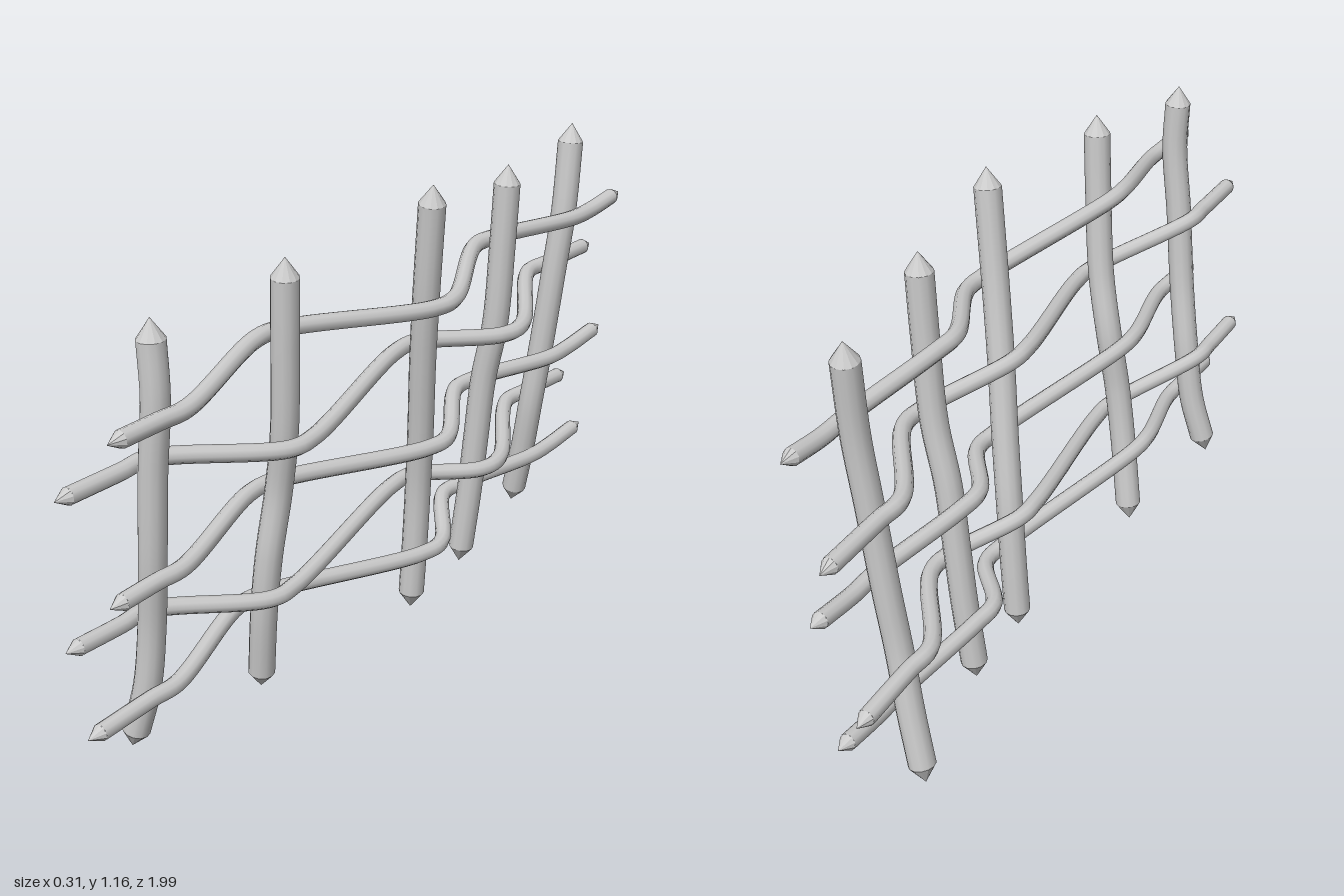
import * as THREE from 'three';

const material = new THREE.MeshStandardMaterial({ color: 0xcccccc });
const tipMaterial = new THREE.MeshStandardMaterial({ color: 0xcccccc, flatShading: true });
const UP = new THREE.Vector3(0, 1, 0);

// A round stick swept along points, with a sharpened cone at both ends
function stick(name, points, radius, tip, segments, sides) {
  const group = new THREE.Group();
  group.name = name;
  const path = points.map((p) => p.clone());
  const last = path.length - 1;
  for (const [end, next] of [[0, 1], [last, last - 1]]) {
    const out = points[end].clone().sub(points[next]).normalize();
    path[end].addScaledVector(out, -tip);
    const cone = new THREE.Mesh(new THREE.ConeGeometry(radius, tip, sides), tipMaterial);
    cone.name = name + 'Tip';
    cone.position.copy(points[end]).addScaledVector(out, -tip / 2);
    cone.quaternion.setFromUnitVectors(UP, out);
    group.add(cone);
  }
  const curve = new THREE.CatmullRomCurve3(path);
  const shaft = new THREE.Mesh(new THREE.TubeGeometry(curve, segments, radius, sides), material);
  shaft.name = name + 'Shaft';
  group.add(shaft);
  return group;
}

// Post centre lines from bottom tip to top tip: [x, y, z]
const posts = [
  [[-0.1, 0.035, 0.775], [-0.057, 0.2, 0.76], [-0.035, 0.36, 0.757], [-0.008, 0.54, 0.77], [0.012, 0.75, 0.775], [0.03, 0.92, 0.775], [0.025, 1.09, 0.775]],
  [[-0.055, 0.02, 0.395], [-0.02, 0.25, 0.415], [0, 0.4, 0.415], [0.02, 0.56, 0.4], [0.05, 0.72, 0.41], [0.068, 0.93, 0.422], [0.08, 1.13, 0.43]],
  [[-0.015, 0.01, -0.13], [-0.002, 0.2, -0.13], [0.01, 0.36, -0.125], [0.03, 0.52, -0.107], [0.055, 0.72, -0.08], [0.08, 0.9, -0.058], [0.113, 1.175, -0.037]],
  [[-0.04, 0.03, -0.372], [-0.015, 0.25, -0.38], [0, 0.4, -0.382], [0.018, 0.56, -0.382], [0.05, 0.72, -0.382], [0.065, 0.93, -0.383], [0.075, 1.13, -0.385]],
  [[-0.13, 0.035, -0.742], [-0.088, 0.22, -0.73], [-0.062, 0.36, -0.722], [-0.04, 0.52, -0.728], [-0.015, 0.74, -0.738], [0, 0.9, -0.75], [0, 1.13, -0.775]],
].map((list) => list.map((p) => new THREE.Vector3(...p)));

// Rails from top to bottom: heights at the five posts, and both end tips as [y, z]
const rails = [
  { y: [0.895, 0.938, 0.89, 0.925, 0.905], ends: [[0.895, 0.96], [0.92, -0.93]] },
  { y: [0.747, 0.702, 0.745, 0.715, 0.738], ends: [[0.75, 1.0], [0.735, -0.99]] },
  { y: [0.515, 0.55, 0.505, 0.535, 0.518], ends: [[0.51, 0.945], [0.535, -0.93]] },
  { y: [0.36, 0.315, 0.36, 0.335, 0.36], ends: [[0.365, 0.96], [0.35, -0.965]] },
  { y: [0.208, 0.25, 0.2, 0.23, 0.215], ends: [[0.2, 0.99], [0.23, -0.93]] },
];

// Point on a post's centre line at height y
function postAt(points, y) {
  const i = points.findIndex((p) => p.y >= y);
  const a = points[i - 1], b = points[i];
  return a.clone().lerp(b, (y - a.y) / (b.y - a.y));
}

export function createModel() {
  const model = new THREE.Group();
  model.name = 'wovenFence';

  // Upright posts
  posts.forEach((points) => model.add(stick('post', points, 0.032, 0.046, 40, 12)));

  // Rails weave past the posts on alternating sides
  rails.forEach(({ y, ends }, r) => {
    const points = [];
    posts.forEach((post, i) => {
      const side = (r + i) % 2 ? -1 : 1;
      const p = postAt(post, y[i]);
      p.x += side * 0.052;
      const hold = 0.04;
      points.push(new THREE.Vector3(p.x, p.y, p.z + hold), new THREE.Vector3(p.x, p.y, p.z - hold));
    });
    const first = points[0], last = points[points.length - 1];
    points.unshift(new THREE.Vector3(first.x, ...ends[0]));
    points.push(new THREE.Vector3(last.x, ...ends[1]));
    model.add(stick('rail', points, 0.02, 0.036, 120, 10));
  });

  return model;
}
